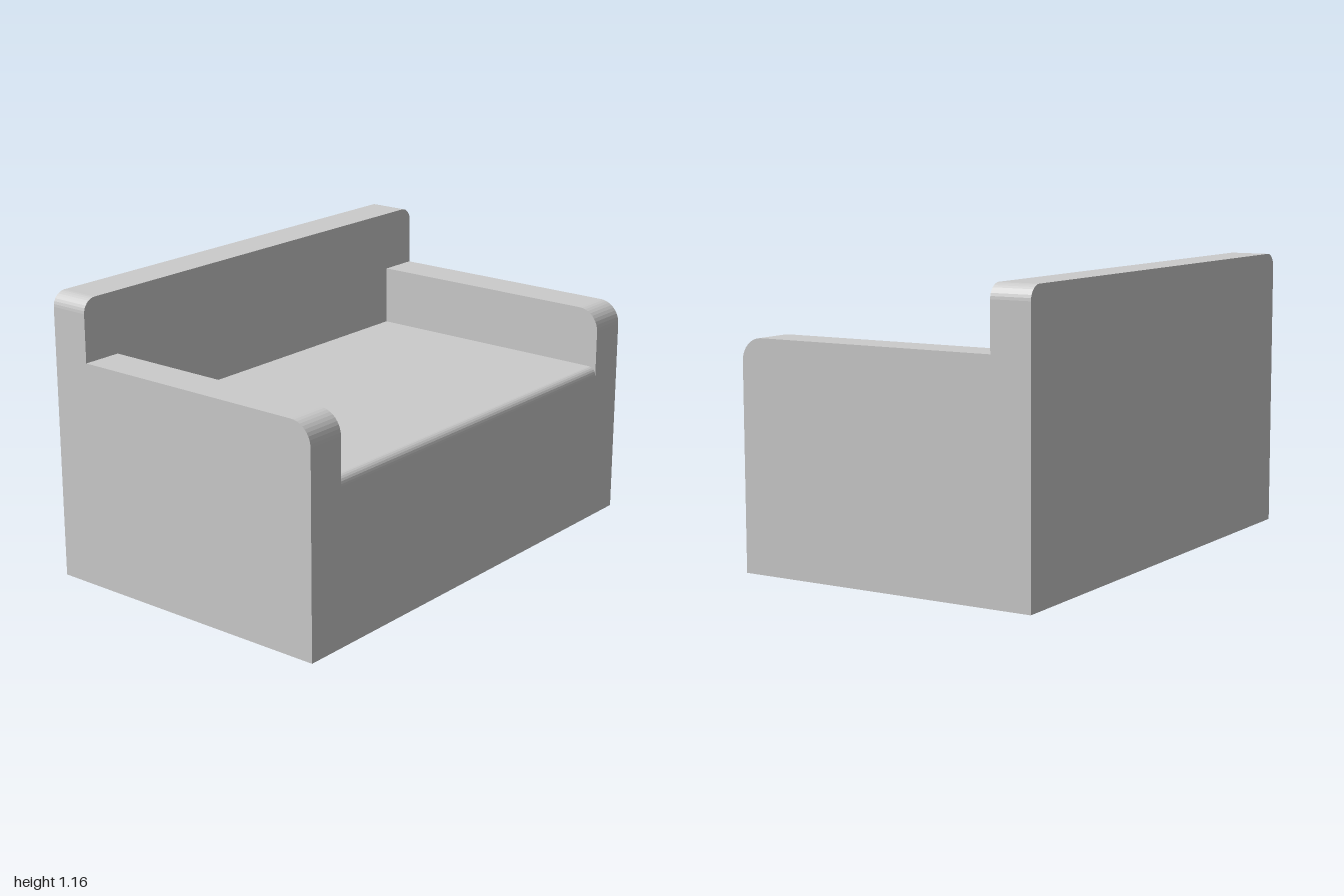
import * as THREE from 'three';

const WIDTH = 2, HALF_DEPTH = 0.635, BACK_FRONT = -0.47, ARM = 0.165;

// Block spanning width w about x = 0, with its top front edge rounded
function roundedFrontBlock(w, height, r, segments) {
  const s = new THREE.Shape();
  s.moveTo(BACK_FRONT, 0);
  s.lineTo(HALF_DEPTH, 0);
  s.lineTo(HALF_DEPTH, height - r);
  s.absarc(HALF_DEPTH - r, height - r, r, 0, Math.PI / 2, false);
  s.lineTo(BACK_FRONT, height);
  s.closePath();
  const g = new THREE.ExtrudeGeometry(s, { depth: w, bevelEnabled: false, curveSegments: segments });
  g.translate(0, 0, -w / 2);
  g.rotateY(-Math.PI / 2); // profile x becomes z
  return g;
}

// Full-width panel with rounded upper corners
function backPanel(height, r) {
  const h = WIDTH / 2;
  const s = new THREE.Shape();
  s.moveTo(-h, 0);
  s.lineTo(h, 0);
  s.lineTo(h, height - r);
  s.absarc(h - r, height - r, r, 0, Math.PI / 2, false);
  s.absarc(-h + r, height - r, r, Math.PI / 2, Math.PI, false);
  s.closePath();
  const g = new THREE.ExtrudeGeometry(s, {
    depth: BACK_FRONT + HALF_DEPTH, bevelEnabled: false, curveSegments: 4,
  });
  g.translate(0, 0, -HALF_DEPTH);
  return g;
}

export function createModel() {
  const group = new THREE.Group();
  group.name = 'sofa';
  const fabric = new THREE.MeshStandardMaterial({ color: 0xcccccc });
  fabric.name = 'light grey fabric';

  const add = (name, geometry, x = 0) => {
    const mesh = new THREE.Mesh(geometry, fabric);
    mesh.name = name;
    mesh.position.x = x;
    group.add(mesh);
  };

  // Seat between the arms
  add('seat', roundedFrontBlock(WIDTH - 2 * ARM, 0.663, 0.035, 3));

  // Mirrored arms
  const arm = roundedFrontBlock(ARM, 0.908, 0.09, 5);
  add('leftArm', arm, (WIDTH - ARM) / 2);
  add('rightArm', arm, -(WIDTH - ARM) / 2);

  // Backrest
  add('backrest', backPanel(1.157, 0.057));
  return group;
}
